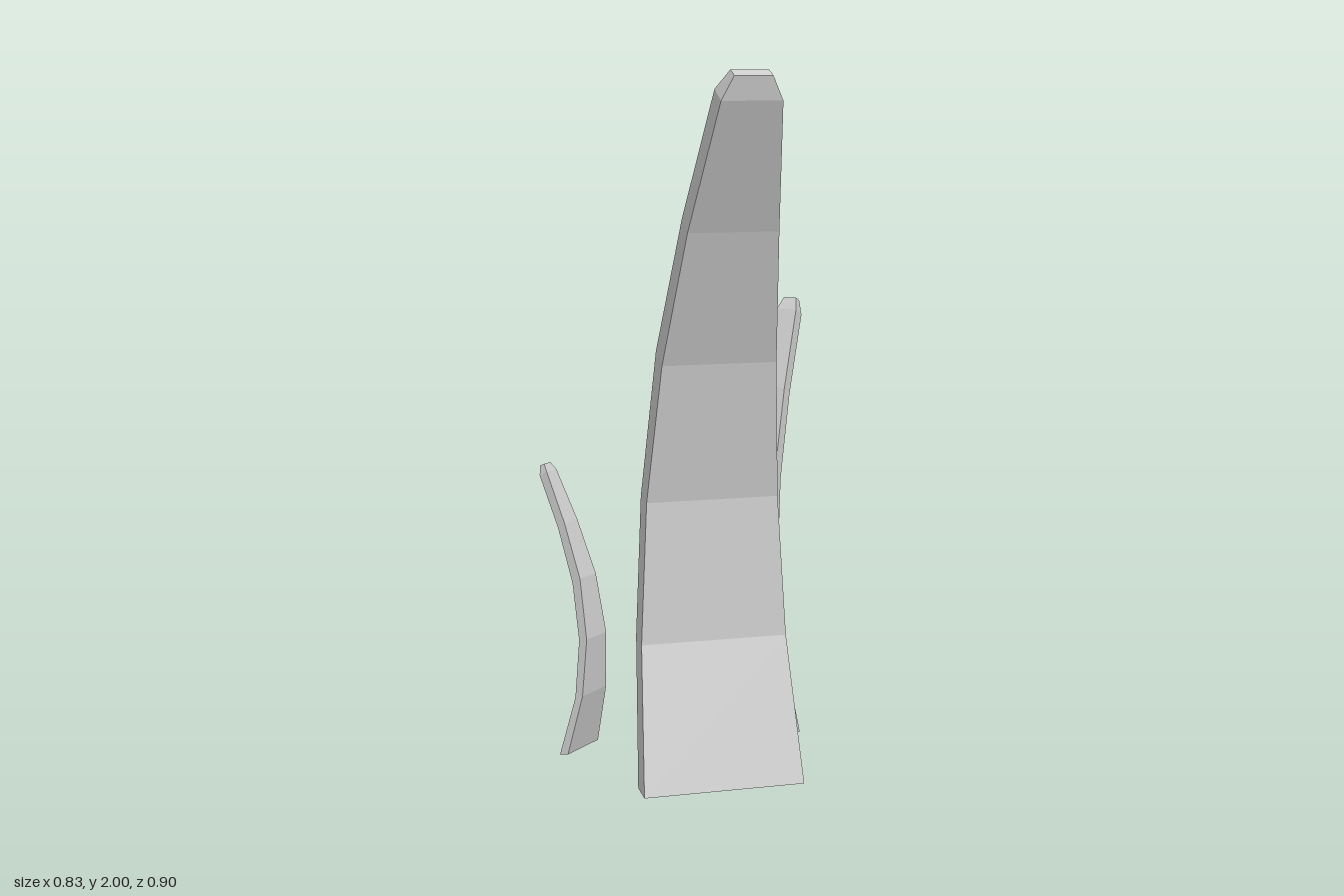
import * as THREE from 'three';

const material = new THREE.MeshStandardMaterial({ color: 0xcccccc, flatShading: true, side: THREE.FrontSide });

// Curved side profile, bottom to top: outer z, outer y, inner z, inner y
const PROFILE = [
  [0.18, 0, 0.115, 0.01],
  [0.077, 0.41, 0.02, 0.425],
  [0.06, 0.81, 0, 0.82],
  [0.125, 1.2, 0.065, 1.235],
  [0.25, 1.57, 0.197, 1.605],
  [0.407, 1.92, 0.35, 1.95],
  [0.42, 1.985, 0.385, 2],
];

// Tapering slab that leans towards local +z; one half width per profile ring
function curvedSlab(name, halfWidths, scale) {
  const positions = [];
  const index = [];
  PROFILE.forEach(([zo, yo, zi, yi], k) => {
    const w = halfWidths[k];
    const [a, b, c, d] = [zo, yo, zi, yi].map((v) => v * scale);
    positions.push(-w, b, a, w, b, a, w, d, c, -w, d, c);
  });
  const last = (PROFILE.length - 1) * 4;
  for (let r = 0; r < last; r += 4) {
    for (let i = 0; i < 4; i++) {
      const p = r + i;
      const q = r + ((i + 1) % 4);
      index.push(p, q, q + 4, p, q + 4, p + 4);
    }
  }
  // End caps
  index.push(0, 2, 1, 0, 3, 2);
  index.push(last, last + 1, last + 2, last, last + 2, last + 3);

  const geometry = new THREE.BufferGeometry();
  geometry.setAttribute('position', new THREE.Float32BufferAttribute(positions, 3));
  geometry.setIndex(index);
  geometry.computeVertexNormals();
  const mesh = new THREE.Mesh(geometry, material);
  mesh.name = name;
  return mesh;
}

export function createModel() {
  const group = new THREE.Group();
  group.name = 'threeCurvedSlabs';

  // Tall slab leaning forward
  const tall = curvedSlab('tallFrontSlab', [0.235, 0.213, 0.192, 0.165, 0.129, 0.085, 0.053], 1);
  tall.position.set(-0.02, 0, 0.03);

  // Medium slab leaning back to the left
  const medium = curvedSlab('mediumLeftSlab', [0.106, 0.083, 0.067, 0.055, 0.043, 0.032, 0.02], 0.655);
  medium.position.set(0.205, 0.01, -0.243);
  medium.rotation.y = THREE.MathUtils.degToRad(135);

  // Small slab leaning back to the right
  const small = curvedSlab('smallRightSlab', [0.086, 0.068, 0.056, 0.045, 0.036, 0.027, 0.017], 0.425);
  small.position.set(-0.274, 0.01, -0.242);
  small.rotation.y = THREE.MathUtils.degToRad(-135);

  group.add(tall, medium, small);
  return group;
}
